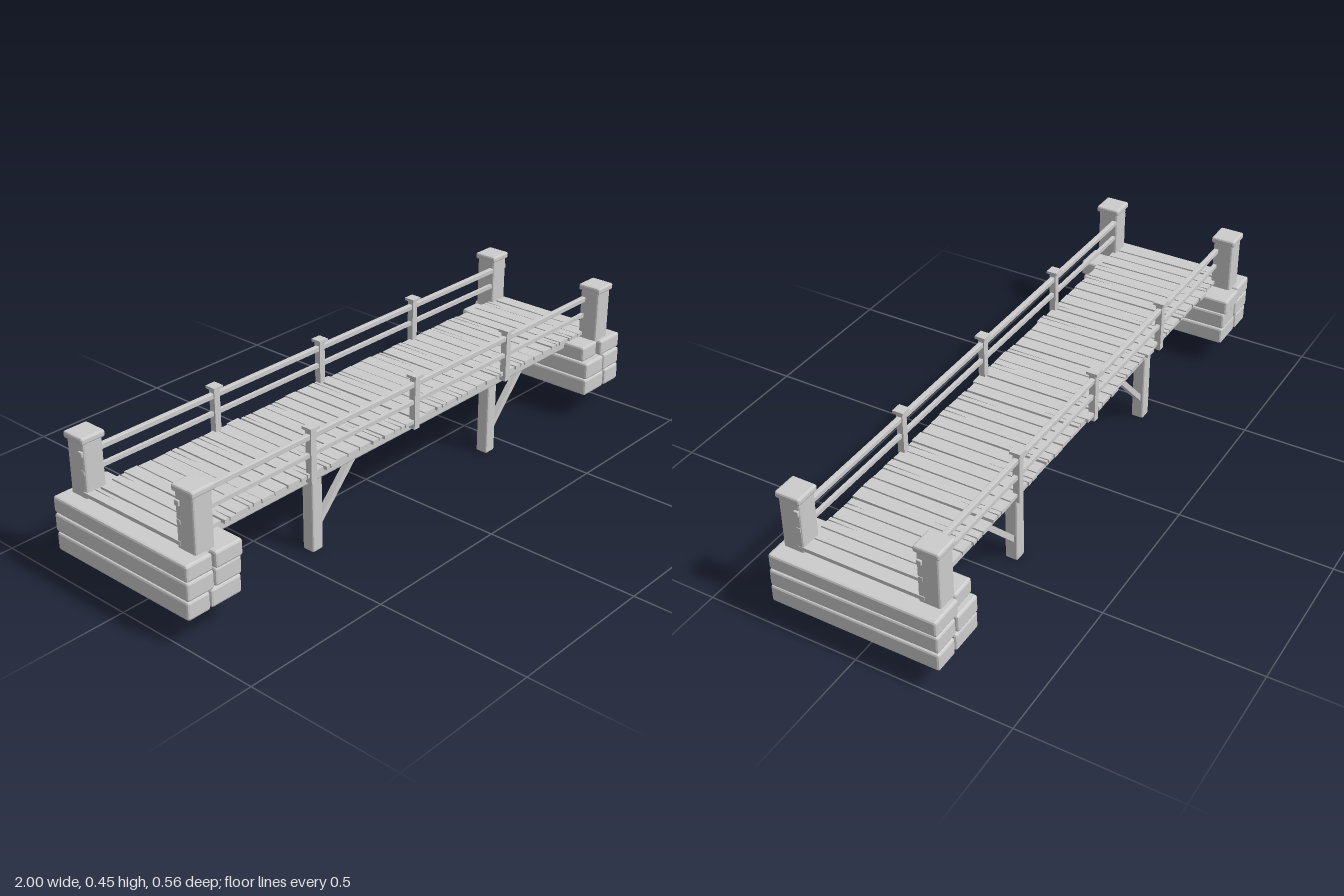
import * as THREE from 'three';
import { RoundedBoxGeometry } from 'three/addons/geometries/RoundedBoxGeometry.js';

export function createModel() {
  const bridge = new THREE.Group();
  bridge.name = 'footbridge';
  const grey = new THREE.MeshStandardMaterial({ color: 0xcccccc, flatShading: true });
  grey.name = 'plain grey';

  // Seeded jitter in -1..1
  let seed = 7;
  const jitter = () => {
    seed = (seed * 16807) % 2147483647;
    return (seed / 2147483647) * 2 - 1;
  };

  const add = (name, geometry, x, y, z) => {
    const mesh = new THREE.Mesh(geometry, grey);
    mesh.name = name;
    mesh.position.set(x, y, z);
    bridge.add(mesh);
    return mesh;
  };

  // Box given by its limits, with chamfered edges when c > 0
  const block = (name, x0, x1, y0, y1, z0, z1, c = 0) => {
    const w = x1 - x0, h = y1 - y0, d = z1 - z0;
    const geometry = c ? new RoundedBoxGeometry(w, h, d, 1, c) : new THREE.BoxGeometry(w, h, d);
    return add(name, geometry, (x0 + x1) / 2, (y0 + y1) / 2, (z0 + z1) / 2);
  };

  // Stone abutments: three courses of two long blocks at each end
  const courses = [[0.09, 0.148], [0.15, 0.208], [0.21, 0.262]];
  const joints = { '-1': [0.915, 0.9, 0.903], '1': [0.915, 0.905, 0.886] };
  for (const side of [-1, 1]) {
    courses.forEach(([y0, y1], i) => {
      const joint = joints[side][i];
      for (const [a, b] of [[0.802, joint - 0.003], [joint + 0.003, 0.998]]) {
        const inner = b < 0.95;
        let half = 0.273 + 0.004 * jitter();
        if (i === 2 && inner) half = side < 0 ? 0.28 : 0.258;
        const stone = block('abutmentStone', Math.min(side * a, side * b), Math.max(side * a, side * b),
          y0, y1, -half, half, 0.007);
        stone.rotation.x = 0.003 * jitter();
        stone.rotation.y = 0.004 * jitter();
      }
    });
  }

  // Corner pillars with slab caps
  for (const sx of [-1, 1]) for (const sz of [-1, 1]) {
    const x = sx * 0.912, z = sz * 0.219;
    block('cornerPillar', x - 0.034, x + 0.034, 0.25, 0.436, z - 0.035, z + 0.035, 0.006);
    block('pillarCap', x - 0.041, x + 0.041, 0.432, 0.454, z - 0.041, z + 0.041, 0.006);
  }

  // Beams under the deck
  for (const z of [-0.163, 0, 0.163]) {
    block('deckBeam', -0.93, 0.93, 0.238, 0.272, z - 0.018, z + 0.018, 0.005);
  }

  // Deck planks, most with a narrow split running in from one end
  const plankCount = 38, pitch = 0.05;
  for (let i = 0; i < plankCount; i++) {
    const w = 0.0235 - 0.001 * Math.abs(jitter());
    const l = 0.2 + 0.005 * jitter();
    const taper = i % 3 === 0 ? 0.004 : 0.001;
    const shape = new THREE.Shape();
    shape.moveTo(-w, -l);
    shape.lineTo(w, -l);
    shape.lineTo(w - taper, l);
    if (i % 3 !== 1) {
      const s = 0.008 * jitter();
      shape.lineTo(s + 0.0022, l);
      shape.lineTo(s, l - 0.11 - 0.05 * jitter());
      shape.lineTo(s - 0.0022, l);
    }
    shape.lineTo(-w, l);
    shape.closePath();
    const geometry = new THREE.ExtrudeGeometry(shape, { depth: 0.012, bevelEnabled: false });
    geometry.rotateX(-Math.PI / 2);
    if (i % 2) geometry.rotateY(Math.PI);
    const plank = add('deckPlank', geometry, (i - (plankCount - 1) / 2) * pitch, 0.271, 0);
    plank.rotation.z = 0.04 * jitter();
    plank.rotation.y = 0.006 * jitter();
  }

  for (const sz of [-1, 1]) {
    const z = sz * 0.195;
    // Railings
    block('topRail', -0.952, 0.952, 0.392, 0.409, z - 0.008, z + 0.008, 0.002);
    block('lowerRail', -0.948, 0.948, 0.336, 0.349, z - 0.006, z + 0.006);
    for (const x of [-0.45, 0, 0.45]) {
      block('railPost', x - 0.011, x + 0.011, 0.252, 0.424, z - 0.011, z + 0.011);
      block('railPostCap', x - 0.018, x + 0.018, 0.422, 0.431, z - 0.018, z + 0.018);
    }
    // Supporting legs with one diagonal brace each
    for (const x of [-0.41, 0.41]) {
      const zl = sz * 0.158;
      block('supportLeg', x - 0.021, x + 0.021, 0, 0.252, zl - 0.021, zl + 0.021, 0.005);
      const dx = 0.18, dy = 0.19;
      const brace = add('diagonalBrace', new THREE.BoxGeometry(Math.hypot(dx, dy), 0.018, 0.02),
        x + 0.09, 0.155, zl);
      brace.rotation.z = Math.atan2(dy, dx);
    }
  }
  return bridge;
}
